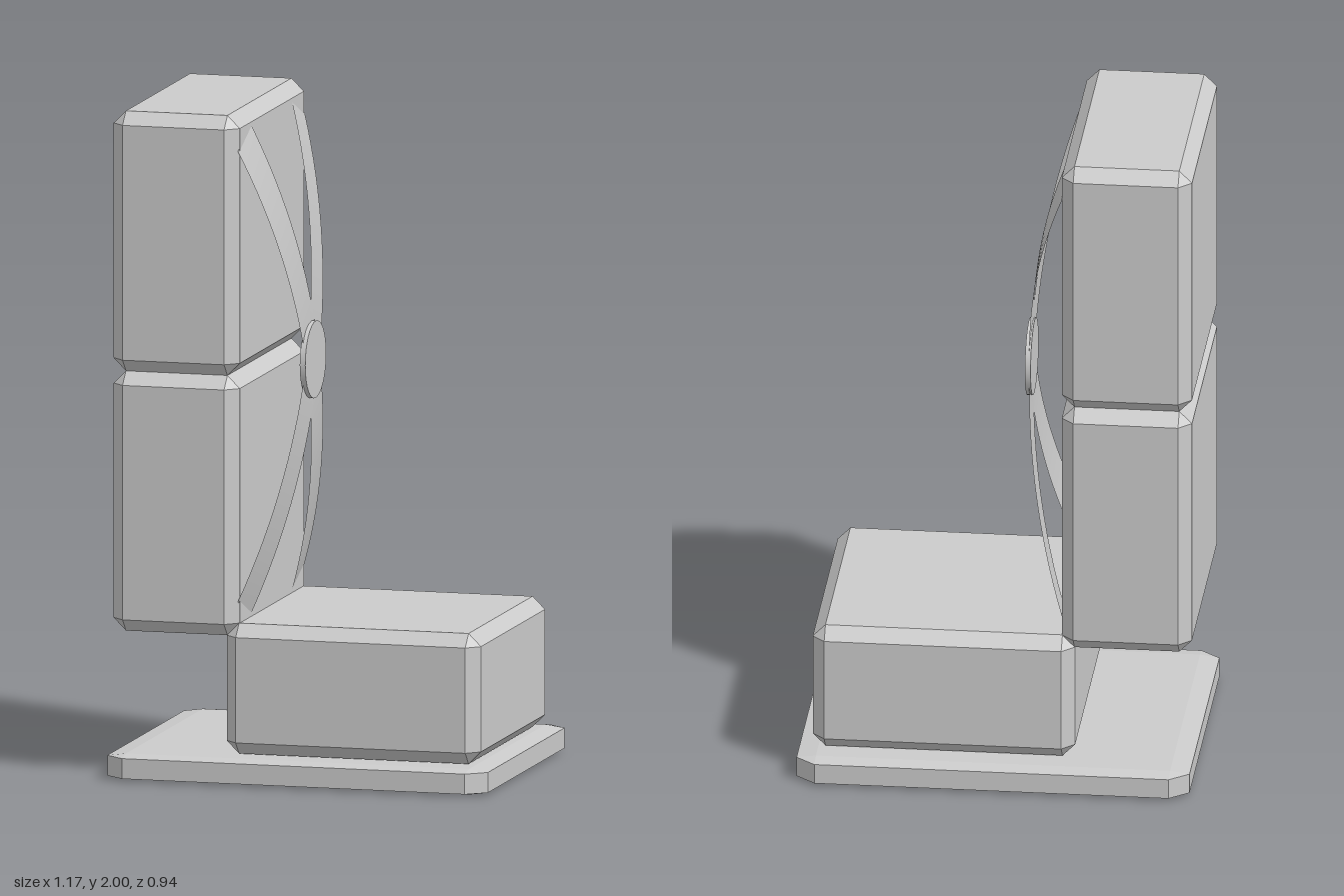
import * as THREE from 'three';
import { ConvexGeometry } from 'three/addons/geometries/ConvexGeometry.js';

const grey = new THREE.MeshStandardMaterial({ color: 0xcccccc });
const greyThin = new THREE.MeshStandardMaterial({ color: 0xcccccc, side: THREE.DoubleSide });

function addMesh(group, name, geometry, material = grey) {
  const mesh = new THREE.Mesh(geometry, material);
  mesh.name = name;
  group.add(mesh);
  return mesh;
}

// Box between two corners, every edge cut by a flat chamfer (cx, cy, cz per axis)
function chamferBox(min, max, [cx, cy, cz]) {
  const c = min.map((v, i) => (v + max[i]) / 2);
  const [hx, hy, hz] = min.map((v, i) => (max[i] - v) / 2);
  const points = [];
  for (const x of [-1, 1]) for (const y of [-1, 1]) for (const z of [-1, 1]) {
    points.push(
      new THREE.Vector3(c[0] + x * hx, c[1] + y * (hy - cy), c[2] + z * (hz - cz)),
      new THREE.Vector3(c[0] + x * (hx - cx), c[1] + y * hy, c[2] + z * (hz - cz)),
      new THREE.Vector3(c[0] + x * (hx - cx), c[1] + y * (hy - cy), c[2] + z * hz));
  }
  return new ConvexGeometry(points);
}

const MID_Y = 1.217;

// Thin band bowed out along +x, running diagonally; side = +1 or -1 picks the diagonal
function strapGeometry(side) {
  const half = 0.768, radius = 2.37;
  const dy = 0.922, dz = 0.387 * side;
  const geometry = new THREE.PlaneGeometry(1, 2, 1, 32);
  const pos = geometry.attributes.position;
  for (let i = 0; i < pos.count; i++) {
    const t = pos.getY(i);
    const s = t * half;
    const w = pos.getX(i) * 2 * (0.067 + 0.011 * Math.abs(t));
    const x = -0.072 - (radius - Math.sqrt(radius * radius - s * s));
    pos.setXYZ(i, x, MID_Y + s * dy + w * dz, s * dz - w * dy);
  }
  geometry.computeVertexNormals();
  return geometry;
}

export function createModel() {
  const model = new THREE.Group();
  model.name = 'chair';
  const soft = [0.038, 0.038, 0.038];

  // Floor plate
  addMesh(model, 'basePlate',
    chamferBox([-0.587, 0, -0.472], [0.587, 0.077, 0.472], [0.058, 0.008, 0.048]));

  // Cushions
  addMesh(model, 'seatCushion', chamferBox([-0.238, 0.08, -0.392], [0.546, 0.473, 0.392], soft));
  addMesh(model, 'lowerBackCushion', chamferBox([-0.587, 0.435, -0.392], [-0.198, MID_Y, 0.392], soft));
  addMesh(model, 'upperBackCushion', chamferBox([-0.587, MID_Y, -0.392], [-0.198, 2, 0.392], soft));

  // Crossed harness straps with a round buckle
  addMesh(model, 'leftStrap', strapGeometry(1), greyThin);
  addMesh(model, 'rightStrap', strapGeometry(-1), greyThin);
  const buckle = addMesh(model, 'buckle', new THREE.CylinderGeometry(0.116, 0.116, 0.017, 32));
  buckle.rotation.z = -Math.PI / 2;
  buckle.position.set(-0.071, MID_Y, 0);

  return model;
}
